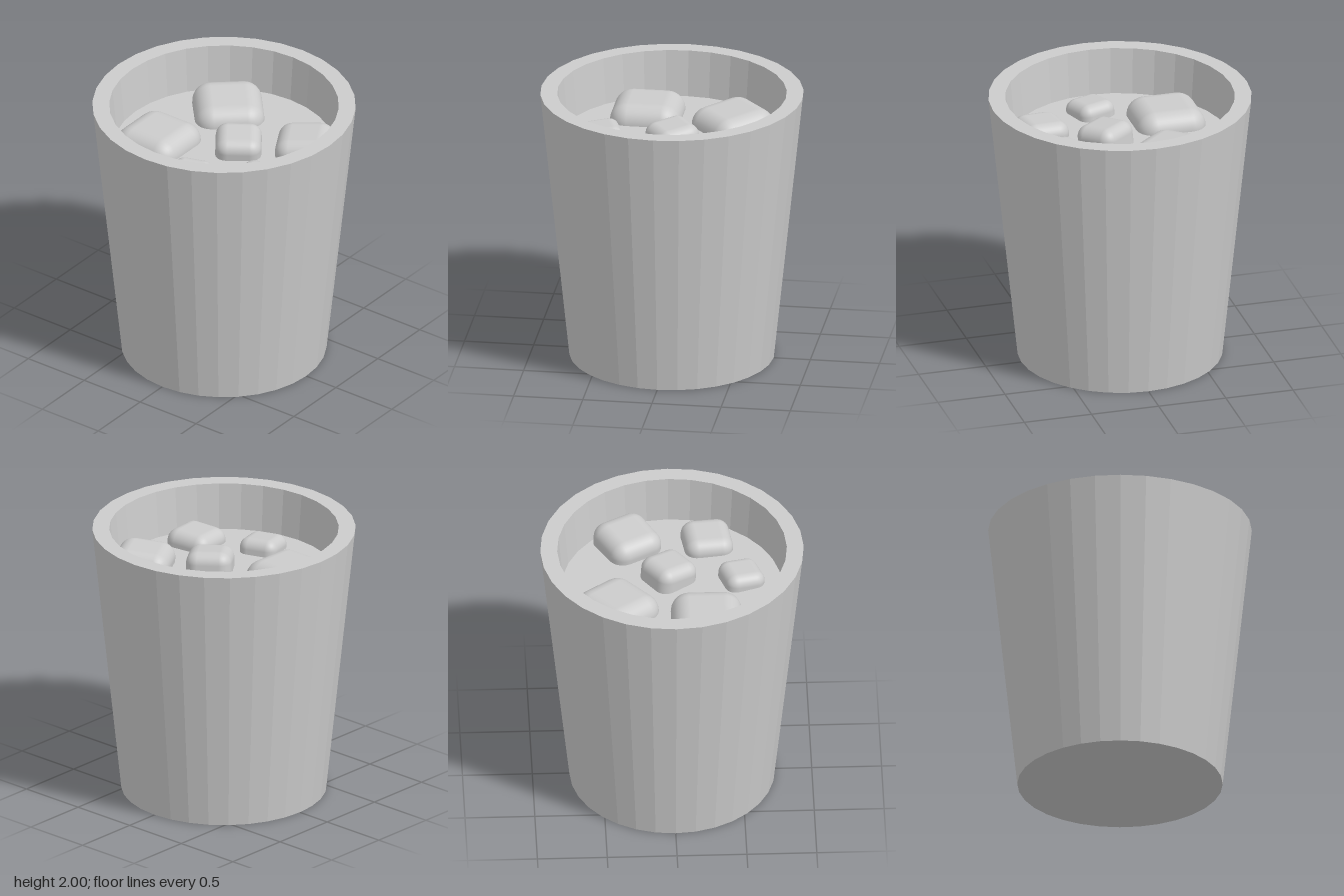
import * as THREE from 'three';
import { RoundedBoxGeometry } from 'three/addons/geometries/RoundedBoxGeometry.js';

const SIDES = 32;
const LIQUID_Y = 1.66;
const FLOOR_Y = 0.1;

export function createModel() {
  const group = new THREE.Group();
  group.name = 'icedDrink';
  const faceted = new THREE.MeshStandardMaterial({ color: 0xcccccc, flatShading: true });
  const smooth = new THREE.MeshStandardMaterial({ color: 0xcccccc });

  const add = (name, geometry, material) => {
    const mesh = new THREE.Mesh(geometry, material);
    mesh.name = name;
    group.add(mesh);
    return mesh;
  };

  // Tapered cup with a thick wall and a flat rim
  const profile = [
    [0, 0], [0.735, 0], [0.943, 2], [0.822, 2], [0.65, FLOOR_Y], [0, FLOOR_Y],
  ].map(([r, y]) => new THREE.Vector2(r, y));
  add('cup', new THREE.LatheGeometry(profile, SIDES), faceted);

  // Drink filling the cup up to the liquid level
  const drinkHeight = LIQUID_Y - FLOOR_Y;
  const drink = add('drink', new THREE.CylinderGeometry(0.791, 0.65, drinkHeight, SIDES), faceted);
  drink.position.y = FLOOR_Y + drinkHeight / 2;

  // Floating ice cubes: x, z, top height, size, turn, tilt x, tilt z
  const cubes = [
    [-0.27, -0.41, 1.80, 0.50, 0.72, 0.06, -0.06],
    [-0.41, 0.235, 1.79, 0.51, 0, 0, 0],
    [0.505, -0.305, 1.81, 0.41, 0.52, 0.04, 0.06],
    [0.11, -0.025, 1.81, 0.33, 0.62, 0.08, -0.08],
    [0.515, 0.265, 1.77, 0.35, 0.14, 0.04, 0.04],
    [0.075, 0.495, 1.76, 0.29, 0.33, 0.08, -0.04],
  ];
  cubes.forEach(([x, z, top, size, turn, tiltX, tiltZ], i) => {
    const cube = add(`iceCube${i + 1}`, new RoundedBoxGeometry(size, size, size, 4, size * 0.26), smooth);
    cube.position.set(x, top - size / 2, z);
    cube.rotation.set(tiltX, turn, tiltZ, 'XZY');
  });

  return group;
}
